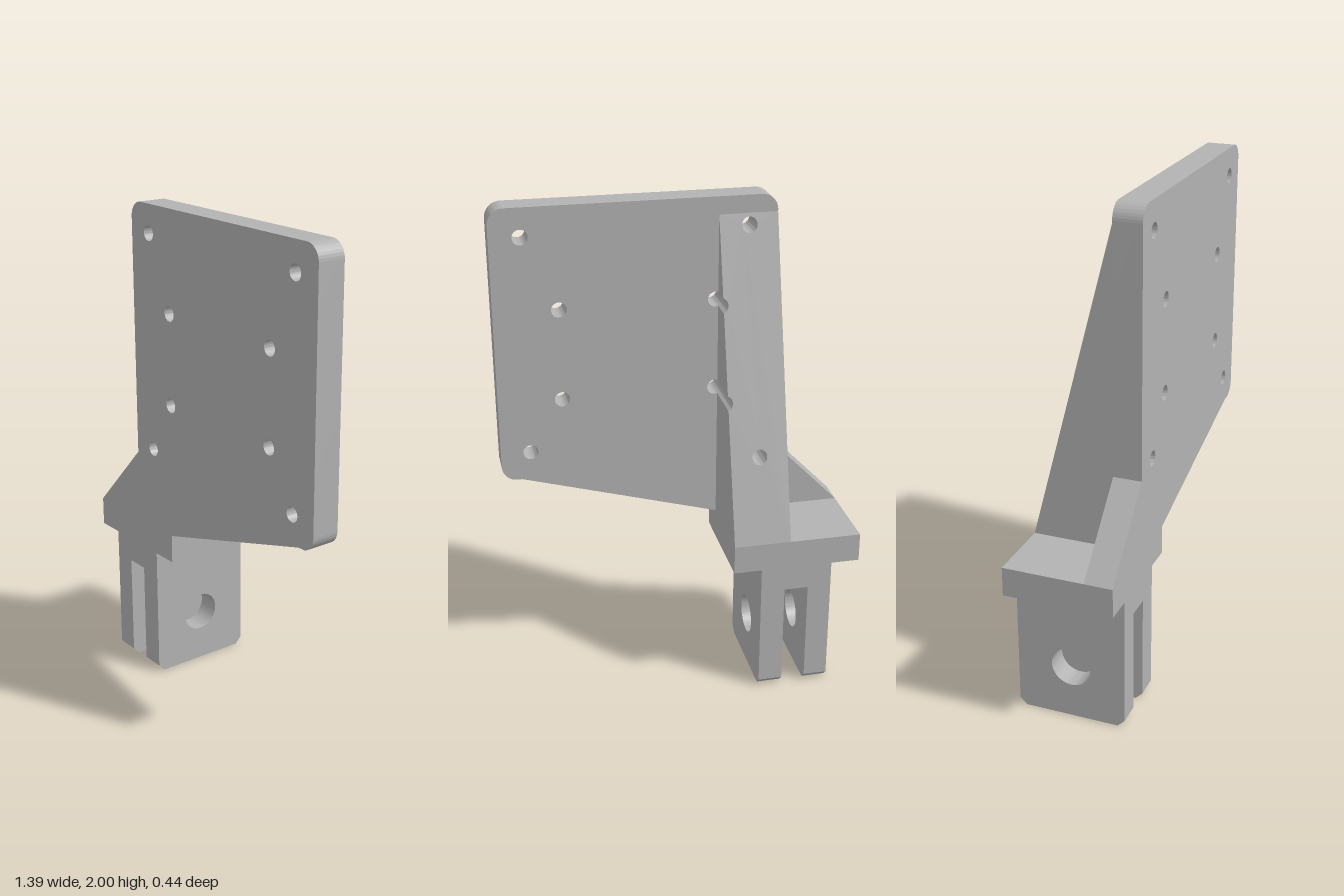
import * as THREE from 'three';
import { toCreasedNormals } from 'three/addons/utils/BufferGeometryUtils.js';

const HOLE_R = 0.03;
const BACK = -0.22, FRONT = 0.22, PLATE_BACK = 0.107;

// closed shape from corner points, with round holes [x, y, radius]
function outline(points, holes = []) {
  const shape = new THREE.Shape(points.map(([x, y]) => new THREE.Vector2(x, y)));
  return drill(shape, holes);
}

function drill(shape, holes) {
  for (const [x, y, r] of holes) {
    shape.holes.push(new THREE.Path().absarc(x, y, r, 0, Math.PI * 2, true));
  }
  return shape;
}

function extrude(shape, depth) {
  return new THREE.ExtrudeGeometry(shape, { depth, bevelEnabled: false, curveSegments: 32 });
}

export function createModel() {
  const model = new THREE.Group();
  model.name = 'mountingBracket';
  const grey = new THREE.MeshStandardMaterial({ color: 0xb2b2b2 });
  grey.name = 'grey';

  function add(name, geometry) {
    const mesh = new THREE.Mesh(toCreasedNormals(geometry, 0.5), grey);
    mesh.name = name;
    model.add(mesh);
  }

  function addBox(name, x0, x1, y0, y1) {
    const box = new THREE.BoxGeometry(x1 - x0, y1 - y0, FRONT - BACK);
    box.translate((x0 + x1) / 2, (y0 + y1) / 2, (FRONT + BACK) / 2);
    add(name, box);
  }

  // mounting plate with rounded corners and eight screw holes
  const plate = new THREE.Shape();
  plate.moveTo(-0.178, 0.672);
  plate.lineTo(0.615, 0.9);
  plate.absarc(0.632, 0.962, 0.063, -1.3, 0, false);
  plate.absarc(0.632, 1.937, 0.063, 0, Math.PI / 2, false);
  plate.absarc(-0.345, 1.937, 0.063, Math.PI / 2, Math.PI, false);
  plate.lineTo(-0.408, 0.97);
  plate.lineTo(-0.698, 0.672);
  const screws = [];
  for (const x of [-0.295, 0.577]) for (const y of [1.015, 1.887]) screws.push([x, y, HOLE_R]);
  for (const x of [-0.167, 0.443]) for (const y of [1.23, 1.597]) screws.push([x, y, HOLE_R]);
  add('plate', extrude(drill(plate, screws), FRONT - PLATE_BACK).translate(0, 0, PLATE_BACK));

  // sloping rib behind the plate, grooved where the inner screws pass its side
  const ribBottom = 0.672, ribTop = 1.93, ribRight = -0.178;
  const rib = new THREE.Shape();
  rib.moveTo(-0.408, ribBottom);
  rib.lineTo(ribRight, ribBottom);
  const half = Math.acos((-0.167 - ribRight) / HOLE_R);
  for (const y of [1.23, 1.597]) {
    rib.absarc(-0.167, y, HOLE_R, Math.PI + half, Math.PI - half, true);
  }
  rib.lineTo(ribRight, ribTop);
  rib.lineTo(-0.408, ribTop);
  drill(rib, [[-0.295, 1.015, HOLE_R], [-0.295, 1.887, HOLE_R]]);
  const ribGeometry = extrude(rib, 1);
  const p = ribGeometry.attributes.position;
  for (let i = 0; i < p.count; i++) {
    const t = (p.getY(i) - ribBottom) / (ribTop - ribBottom);
    const slope = THREE.MathUtils.lerp(BACK, PLATE_BACK, t);
    p.setZ(i, p.getZ(i) < 0.5 ? slope : PLATE_BACK);
  }
  add('rib', ribGeometry);

  // base block and the bridge at the top of the fork slot
  addBox('base', -0.698, -0.178, 0.555, 0.672);
  addBox('forkBridge', -0.487, -0.389, 0.453, 0.555);

  // two fork prongs with chamfered feet and a pivot hole
  const c = 0.028;
  const prong = outline([
    [BACK + c, 0], [FRONT - c, 0], [FRONT, c], [FRONT, 0.555], [BACK, 0.555], [BACK, c],
  ], [[0, 0.22, 0.08]]);
  for (const [name, x0, x1] of [['rightProng', -0.583, -0.487], ['leftProng', -0.389, -0.291]]) {
    add(name, extrude(prong, x1 - x0).rotateY(Math.PI / 2).translate(x0, 0, 0));
  }

  return model;
}
